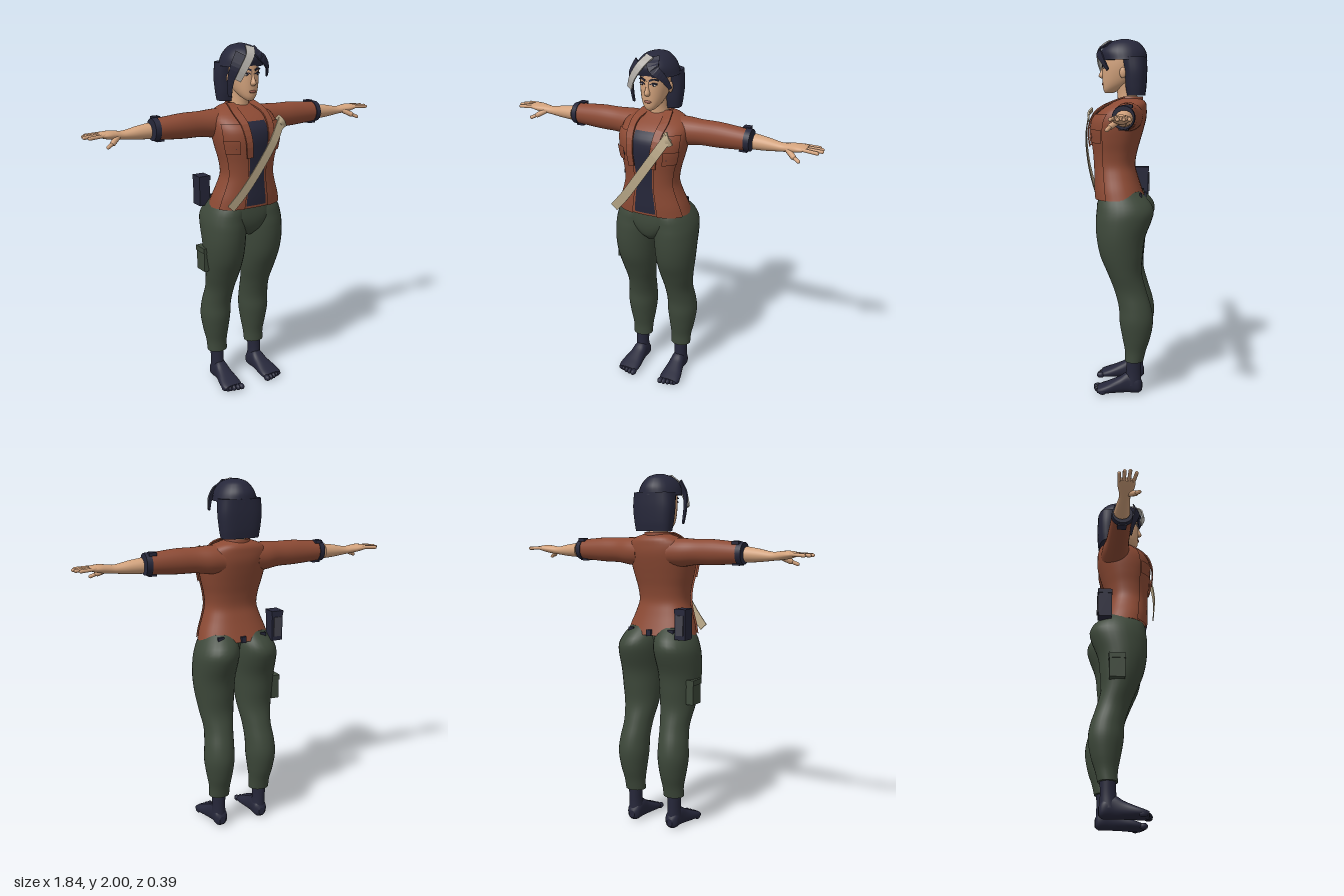
import * as THREE from 'three';

const mat = (name, color, side = THREE.FrontSide) => {
  const m = new THREE.MeshStandardMaterial({ color, side });
  m.name = name;
  return m;
};

// Smooth interpolation of a section table [t, centre1, centre2, radius1, radius2]
function sample(R, t) {
  let i = 0;
  while (i < R.length - 2 && t > R[i + 1][0]) i++;
  const h = R[i + 1][0] - R[i][0], u = (t - R[i][0]) / h;
  const slope = (k, c) => {
    const a = R[Math.max(k - 1, 0)], b = R[Math.min(k + 1, R.length - 1)];
    return (b[c] - a[c]) / (b[0] - a[0]);
  };
  return [1, 2, 3, 4].map((c) =>
    (2 * u ** 3 - 3 * u * u + 1) * R[i][c] + (u ** 3 - 2 * u * u + u) * h * slope(i, c) +
    (3 * u * u - 2 * u ** 3) * R[i + 1][c] + (u ** 3 - u * u) * h * slope(i + 1, c));
}

// Surface through rings of points, with optional wrap-around and end caps
function skin(rings, closed = true) {
  const n = rings[0].length, pos = rings.flat(2), idx = [];
  for (let i = 0; i < rings.length - 1; i++) {
    for (let j = 0; j < (closed ? n : n - 1); j++) {
      const a = i * n + j, b = i * n + (j + 1) % n;
      idx.push(a, a + n, b, b, a + n, b + n);
    }
  }
  if (closed) [rings[0], rings[rings.length - 1]].forEach((ring, end) => {
    const s = pos.length / 3;
    const mid = [0, 1, 2].map((k) => ring.reduce((sum, p) => sum + p[k], 0) / n);
    pos.push(...ring.flat(), ...mid);
    for (let j = 0; j < n; j++) {
      const a = s + j, b = s + (j + 1) % n;
      idx.push(...(end ? [b, a, s + n] : [a, b, s + n]));
    }
  });
  const g = new THREE.BufferGeometry();
  g.setAttribute('position', new THREE.Float32BufferAttribute(pos, 3));
  g.setIndex(idx);
  g.computeVertexNormals();
  return g;
}

// Body part swept along an axis; arc (degrees) and range cut out a patch, grow lifts it
function loft(axis, R, { power = 2, steps = 28, seg = 28, arc, range, grow = 0 } = {}) {
  const [t0, t1] = range || [R[0][0], R[R.length - 1][0]];
  const [a0, a1] = (arc || [0, 360]).map(THREE.MathUtils.degToRad);
  const bend = (v) => Math.sign(v) * Math.abs(v) ** (2 / power);
  const rings = [];
  for (let i = 0; i <= steps; i++) {
    const t = t0 + (t1 - t0) * i / steps, [c1, c2, r1, r2] = sample(R, t), ring = [];
    for (let j = 0; j < (arc ? seg + 1 : seg); j++) {
      const a = a0 + (a1 - a0) * j / seg, c = bend(Math.cos(a)), s = bend(Math.sin(a));
      const p = r1 + grow, q = r2 + grow;
      ring.push(axis === 'y' ? [c1 + p * c, t, c2 + q * s]
        : axis === 'x' ? [t, c1 + p * s, c2 + q * c] : [c1 + p * s, c2 + q * c, t]);
    }
    rings.push(ring);
  }
  return skin(rings, !arc);
}

// Flat band along a curve, facing the given normal
function ribbon(points, w0, w1, normal = [0, 0, 1], thick = 0.008) {
  const curve = new THREE.CatmullRomCurve3(points.map((p) => new THREE.Vector3(...p)));
  const N = new THREE.Vector3(...normal).normalize(), rings = [];
  for (let i = 0; i <= 12; i++) {
    const u = i / 12, p = curve.getPoint(u), T = curve.getTangent(u);
    const S = T.clone().cross(N).normalize(), M = S.clone().cross(T).normalize();
    const w = (w0 + (w1 - w0) * u) / 2, h = thick / 2;
    rings.push([[w, -h], [w, h], [-w, h], [-w, -h]].map(([a, b]) =>
      p.clone().addScaledVector(S, a).addScaledVector(M, b).toArray()));
  }
  const g = skin(rings).toNonIndexed();
  g.computeVertexNormals();
  return g;
}

function limb(a, b, r) {
  const A = new THREE.Vector3(...a), d = new THREE.Vector3(...b).sub(A), len = d.length();
  const g = new THREE.CapsuleGeometry(r, len, 4, 10);
  g.applyQuaternion(new THREE.Quaternion().setFromUnitVectors(new THREE.Vector3(0, 1, 0), d.clone().normalize()));
  const m = A.addScaledVector(d, 0.5);
  return g.translate(m.x, m.y, m.z);
}
const blob = (x, y, z, rx, ry, rz) => new THREE.SphereGeometry(1, 16, 10).scale(rx, ry, rz).translate(x, y, z);
const box = (x, y, z, w, h, d) => new THREE.BoxGeometry(w, h, d).translate(x, y, z);

function mirrored(geo) {
  const g = geo.clone().scale(-1, 1, 1);
  const src = g.index ? Array.from(g.index.array) : Array.from({ length: g.attributes.position.count }, (_, i) => i);
  for (let i = 0; i < src.length; i += 3) [src[i + 1], src[i + 2]] = [src[i + 2], src[i + 1]];
  g.setIndex(src);
  return g;
}

export function createModel() {
  const model = new THREE.Group();
  model.name = 'figure';
  const rust = mat('rust jacket', 0x8c4a34, THREE.DoubleSide), green = mat('green trousers', 0x3d483a);
  const navy = mat('navy', 0x26273a, THREE.DoubleSide), tan = mat('skin', 0xd2a27c);
  const sand = mat('sand strap', 0xb9a888), silver = mat('silver hair', 0xb3afa9);
  const lip = mat('lip', 0x9c5d4e), white = mat('eye white', 0xd8d2ca), grey = mat('grey panel', 0x44444e);
  const add = (name, geo, m) => {
    const mesh = new THREE.Mesh(geo, m);
    mesh.name = name;
    model.add(mesh);
  };
  const pair = (name, geo, m) => {
    add(name + 'Left', geo, m);
    add(name + 'Right', mirrored(geo), m);
  };

  // Trousers
  pair('trouserLeg', loft('y', [
    [0.19, 0.13, -0.083, 0.06, 0.053], [0.25, 0.13, -0.09, 0.062, 0.06], [0.32, 0.132, -0.095, 0.074, 0.078],
    [0.42, 0.133, -0.095, 0.087, 0.095], [0.5, 0.13, -0.088, 0.085, 0.092], [0.6, 0.122, -0.06, 0.084, 0.09],
    [0.7, 0.121, -0.028, 0.1, 0.097], [0.8, 0.123, -0.01, 0.113, 0.12], [0.9, 0.124, -0.006, 0.121, 0.136],
    [1.0, 0.12, -0.022, 0.125, 0.157], [1.05, 0.116, -0.03, 0.122, 0.16], [1.1, 0.106, -0.022, 0.112, 0.148],
    [1.16, 0.09, -0.005, 0.09, 0.105]], { steps: 44 }), green);
  add('trouserFront', loft('y', [[0.94, 0, 0.03, 0.02, 0.05], [0.98, 0, 0.03, 0.08, 0.085],
    [1.05, 0, 0.025, 0.16, 0.107], [1.15, 0, 0.015, 0.195, 0.11]], { power: 2.4 }), green);
  add('thighPocket', box(-0.232, 0.805, -0.045, 0.045, 0.14, 0.085), green);
  add('thighPocketFlap', box(-0.234, 0.86, -0.045, 0.05, 0.03, 0.092), green);

  // Socks and feet
  pair('ankle', loft('y', [[0.05, 0.13, -0.075, 0.042, 0.05], [0.12, 0.132, -0.08, 0.037, 0.043],
    [0.22, 0.132, -0.083, 0.042, 0.042]], { steps: 10 }), navy);
  pair('foot', loft('z', [[-0.13, 0.13, 0.038, 0.018, 0.022], [-0.112, 0.13, 0.047, 0.038, 0.046],
    [-0.05, 0.13, 0.06, 0.041, 0.06], [0.0, 0.133, 0.046, 0.048, 0.046], [0.06, 0.138, 0.032, 0.06, 0.032],
    [0.1, 0.14, 0.024, 0.062, 0.024], [0.125, 0.14, 0.02, 0.055, 0.018]], { power: 2.4 }), navy);
  for (let i = 0; i < 5; i++) {
    pair('toe' + i, blob(0.093 + i * 0.024, 0.018, 0.13 - i * i * 0.0022, i ? 0.013 : 0.017, 0.018, 0.024), navy);
  }

  // Jacket body, shirt front and overlapping panels
  const torso = [[1.115, 0, 0, 0.208, 0.138], [1.17, 0, 0.012, 0.192, 0.13], [1.24, 0, 0.024, 0.166, 0.119],
    [1.3, 0, 0.032, 0.15, 0.113], [1.37, 0, 0.03, 0.156, 0.12], [1.44, 0, 0.025, 0.173, 0.134],
    [1.51, 0, 0.018, 0.187, 0.147], [1.57, 0, 0.004, 0.19, 0.147], [1.62, 0, -0.022, 0.178, 0.122],
    [1.655, 0, -0.048, 0.13, 0.09], [1.675, 0, -0.05, 0.07, 0.06]];
  const patch = (arc, range, grow, seg = 10) => loft('y', torso, { power: 2.3, arc, range, grow, seg });
  add('jacketBody', loft('y', torso, { power: 2.3, steps: 40, seg: 40 }), rust);
  add('shirtFront', patch([75, 105], [1.13, 1.6], 0.004), navy);
  pair('jacketPanel', patch([25, 73], [1.115, 1.59], 0.009), rust);
  pair('chestPocketFlap', patch([26, 58], [1.43, 1.505], 0.018), rust);
  pair('pocketButton', blob(0.125, 1.465, 0.141, 0.012, 0.014, 0.01), navy);
  pair('lapel', ribbon([[0.065, 1.68, -0.02], [0.085, 1.645, 0.07], [0.08, 1.59, 0.147], [0.07, 1.5, 0.18],
    [0.062, 1.41, 0.172]], 0.05, 0.035, [0.15, 0.4, 1]), rust);
  add('collar', loft('y', [[1.64, 0, -0.045, 0.085, 0.08], [1.685, 0, -0.055, 0.068, 0.068]],
    { arc: [150, 390], steps: 3 }), rust);
  pair('hemTab', box(0.13, 1.135, -0.118, 0.035, 0.035, 0.014), navy);
  add('hemTabBack', box(0, 1.13, -0.138, 0.03, 0.035, 0.014), navy);

  // Sleeves, cuffs and arms
  pair('sleeve', loft('x', [[0.1, 1.575, -0.045, 0.08, 0.085], [0.17, 1.576, -0.048, 0.078, 0.078],
    [0.25, 1.58, -0.046, 0.07, 0.066], [0.35, 1.581, -0.045, 0.069, 0.062], [0.45, 1.58, -0.045, 0.062, 0.058],
    [0.53, 1.579, -0.045, 0.056, 0.054]]), rust);
  pair('cuff', loft('x', [[0.505, 1.579, -0.045, 0.062, 0.06], [0.536, 1.579, -0.045, 0.059, 0.057]],
    { steps: 3 }), navy);
  pair('cuffTabTop', box(0.5, 1.635, -0.07, 0.04, 0.018, 0.04), navy);
  pair('cuffTabBottom', box(0.497, 1.524, -0.045, 0.045, 0.018, 0.05), navy);
  pair('forearm', loft('x', [[0.55, 1.574, -0.05, 0.042, 0.045], [0.62, 1.571, -0.05, 0.035, 0.038],
    [0.7, 1.568, -0.05, 0.023, 0.03], [0.74, 1.572, -0.05, 0.023, 0.035], [0.78, 1.577, -0.05, 0.022, 0.045],
    [0.815, 1.58, -0.052, 0.016, 0.046], [0.835, 1.582, -0.054, 0.01, 0.04]]), tan);
  [[-0.088, -0.096, 0.885], [-0.064, -0.071, 0.905], [-0.04, -0.042, 0.911], [-0.017, -0.008, 0.895]].forEach(
    ([z0, z1, x], i) => pair('finger' + i, limb([0.81, 1.582, z0], [x, 1.578, z1], 0.0095), tan));
  pair('thumbBase', limb([0.735, 1.565, -0.03], [0.775, 1.543, 0.0], 0.015), tan);
  pair('thumb', limb([0.775, 1.543, 0.0], [0.808, 1.528, 0.015], 0.01), tan);

  // Neck and head
  add('neck', loft('y', [[1.63, 0, -0.045, 0.064, 0.064], [1.69, 0, -0.035, 0.05, 0.055],
    [1.78, 0, -0.025, 0.05, 0.06]], { steps: 10 }), tan);
  add('head', loft('y', [[1.705, 0, 0.068, 0.02, 0.022], [1.72, 0, 0.054, 0.037, 0.045],
    [1.75, 0, 0.03, 0.056, 0.073], [1.79, 0, 0.01, 0.069, 0.095], [1.84, 0, -0.004, 0.077, 0.109],
    [1.89, 0, -0.01, 0.077, 0.114], [1.94, 0, -0.01, 0.07, 0.105], [1.98, 0, -0.01, 0.04, 0.07]], { power: 2.15 }), tan);
  add('nose', loft('y', [[1.786, 0, 0.1, 0.01, 0.012], [1.797, 0, 0.104, 0.016, 0.023],
    [1.83, 0, 0.1, 0.009, 0.014], [1.865, 0, 0.098, 0.009, 0.008]], { steps: 12, seg: 12 }), tan);
  pair('ear', blob(0.078, 1.815, -0.015, 0.011, 0.03, 0.019), tan);
  pair('eyeWhite', blob(0.032, 1.846, 0.093, 0.015, 0.007, 0.006), white);
  pair('iris', blob(0.032, 1.846, 0.097, 0.006, 0.006, 0.004), navy);
  pair('eyelid', ribbon([[0.014, 1.848, 0.101], [0.031, 1.855, 0.099], [0.05, 1.849, 0.087]], 0.005, 0.006), navy);
  pair('eyebrow', ribbon([[0.012, 1.868, 0.105], [0.034, 1.876, 0.099], [0.056, 1.869, 0.082]], 0.01, 0.005), navy);
  add('mouth', blob(0, 1.754, 0.1, 0.021, 0.008, 0.009), lip);

  // Bobbed hair
  add('hairCap', loft('y', [[1.885, 0, -0.022, 0.122, 0.124], [1.93, 0, -0.014, 0.108, 0.126],
    [1.965, 0, -0.014, 0.085, 0.104], [1.988, 0, -0.018, 0.056, 0.072], [2.0, 0, -0.02, 0.018, 0.025]]), navy);
  add('hairBack', loft('y', [[1.69, 0, -0.085, 0.108, 0.05], [1.74, 0, -0.084, 0.116, 0.058],
    [1.82, 0, -0.083, 0.124, 0.063], [1.9, 0, -0.075, 0.12, 0.07]], { power: 2.8 }), navy);
  add('silverLock', ribbon([[0.0, 1.99, 0.07], [-0.03, 1.95, 0.122], [-0.075, 1.88, 0.128], [-0.1, 1.82, 0.11]],
    0.05, 0.035, [-0.3, 0.2, 1]), silver);
  add('leftLock', ribbon([[0.01, 1.985, 0.065], [0.045, 1.935, 0.118], [0.09, 1.89, 0.1], [0.115, 1.83, 0.065]],
    0.075, 0.02, [0.5, 0.2, 1]), navy);
  add('rightLock', ribbon([[-0.06, 1.955, 0.085], [-0.1, 1.89, 0.085], [-0.114, 1.81, 0.06], [-0.11, 1.73, 0.045]],
    0.07, 0.02, [-0.7, 0.2, 1]), navy);

  // Chest strap and hip pouch
  add('chestStrap', ribbon([[0.15, 1.6, 0.163], [0.08, 1.49, 0.19], [-0.03, 1.33, 0.191], [-0.11, 1.22, 0.178],
    [-0.18, 1.14, 0.164]], 0.05, 0.05, [0, 0, 1], 0.006), sand);
  add('strapEnd', ribbon([[0.125, 1.615, 0.15], [0.145, 1.59, 0.17], [0.165, 1.555, 0.165]], 0.03, 0.03), sand);
  add('hipPouch', box(-0.205, 1.19, -0.112, 0.065, 0.17, 0.075), navy);
  add('pouchLid', box(-0.205, 1.262, -0.112, 0.071, 0.025, 0.081), navy);
  add('pouchPanel', box(-0.205, 1.185, -0.152, 0.045, 0.11, 0.008), grey);

  return model;
}
